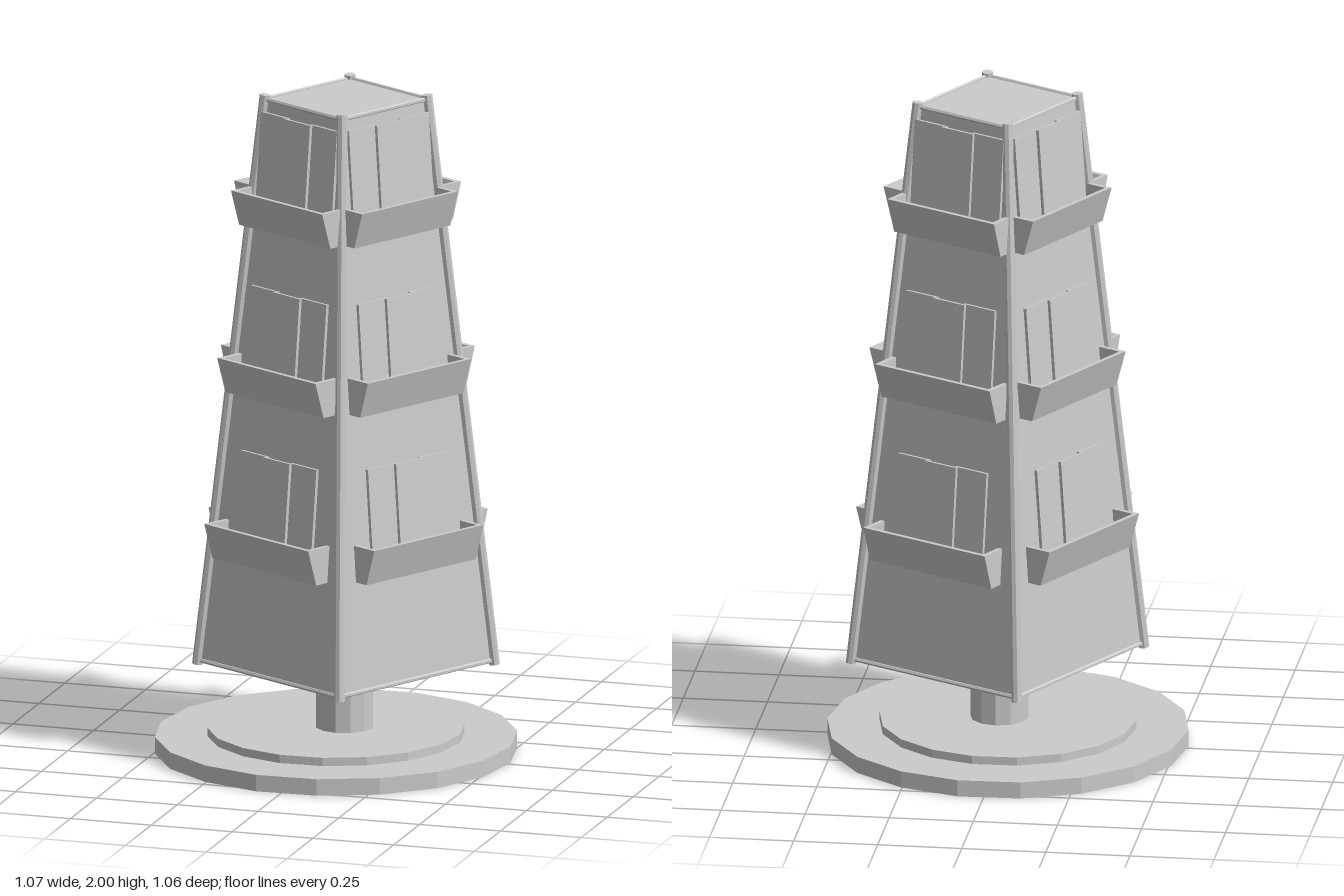
import * as THREE from 'three';

const Y0 = 0.27, Y1 = 1.99;
const mat = new THREE.MeshStandardMaterial({ color: 0xcccccc, flatShading: true, side: THREE.DoubleSide });

// Half widths of the tapering tower at height y
const lerp = (y, low, high) => low + (high - low) * (y - Y0) / (Y1 - Y0);
const halfX = (y) => lerp(y, 0.303, 0.165);
const halfZ = (y) => lerp(y, 0.315, 0.173);

function add(parent, name, geometry, x = 0, y = 0, z = 0) {
  const m = new THREE.Mesh(geometry, mat);
  m.name = name;
  m.position.set(x, y, z);
  parent.add(m);
  return m;
}

// Round bar between two points
function bar(parent, name, a, b, r, sides) {
  const m = add(parent, name, new THREE.CylinderGeometry(r, r, a.distanceTo(b), sides));
  m.position.copy(a).add(b).multiplyScalar(0.5);
  m.quaternion.setFromUnitVectors(new THREE.Vector3(0, 1, 0), b.clone().sub(a).normalize());
}

// Profile (outward, up) extruded along the side of the tower
function extrude(points, length) {
  const shape = new THREE.Shape(points.map(([x, y]) => new THREE.Vector2(x, y)));
  return new THREE.ExtrudeGeometry(shape, { depth: length, bevelEnabled: false });
}

// Open tray with a sloping front, and the cards standing in it
function addTray(side, half, y, w, cardTop) {
  const h = 0.11, t = 0.014;
  const inTop = half(y + h), inLow = half(y);
  const outTop = inTop + 0.087, outLow = outTop - 0.033;
  const tray = new THREE.Group();
  tray.name = 'tray';
  side.add(tray);
  add(tray, 'trayFrontAndFloor', extrude([
    [inLow - 0.005, y], [outLow, y], [outTop, y + h], [outTop - t, y + h],
    [outLow - t, y + t], [inLow - 0.005, y + t],
  ], 2 * w), 0, 0, -w);
  for (const z of [-w, w - t]) {
    add(tray, 'trayEnd', extrude([
      [inLow - 0.005, y], [outLow, y], [outTop, y + h], [inTop - 0.005, y + h],
    ], t), 0, 0, z);
  }
  // Cards leaning on the panel, the middle one in front
  const low = y + t, mid = (low + cardTop) / 2;
  const tilt = Math.atan((half(low) - half(cardTop)) / (cardTop - low));
  [-0.105, 0, 0.105].forEach((z, i) => {
    const proud = i === 1 ? 0.02 : 0.01;
    const card = add(tray, 'card', new THREE.BoxGeometry(0.01, cardTop - low, 0.115),
      half(mid) + proud, mid, z);
    card.rotation.z = tilt;
  });
}

export function createModel() {
  const model = new THREE.Group();
  model.name = 'revolvingDisplayStand';

  // Base ring with a raised disc inside
  const ring = [[0.38, 0], [0.535, 0], [0.535, 0.05], [0.38, 0.05], [0.38, 0]];
  const base = add(model, 'baseRing',
    new THREE.LatheGeometry(ring.map(([x, y]) => new THREE.Vector2(x, y)), 18));
  const disc = add(model, 'baseDisc', new THREE.CylinderGeometry(0.38, 0.38, 0.055, 18), 0, 0.0475, 0);
  base.rotation.y = disc.rotation.y = 0.205;

  add(model, 'pole', new THREE.CylinderGeometry(0.086, 0.086, 0.21, 12), 0.025, 0.175, -0.004);

  const tower = new THREE.Group();
  tower.name = 'tower';
  tower.position.x = 0.031;
  tower.rotation.y = -THREE.MathUtils.degToRad(28.6);
  model.add(tower);

  // Tapering panels
  const low = Y0 + 0.005, high = Y1 - 0.005;
  const body = new THREE.BoxGeometry(2, high - low, 2).translate(0, (high + low) / 2, 0);
  const p = body.attributes.position;
  for (let i = 0; i < p.count; i++) {
    p.setX(i, p.getX(i) * halfX(p.getY(i)));
    p.setZ(i, p.getZ(i) * halfZ(p.getY(i)));
  }
  body.computeVertexNormals();
  add(tower, 'panels', body);

  // Corner posts, and rails along the top and bottom edges
  const corner = (k, y) => {
    const [sx, sz] = [[1, 1], [1, -1], [-1, -1], [-1, 1]][k % 4];
    return new THREE.Vector3(sx * halfX(y), y, sz * halfZ(y));
  };
  for (let k = 0; k < 4; k++) {
    bar(tower, 'cornerPost', corner(k, Y0 - 0.005), corner(k, 1.998), 0.016, 8);
    for (const y of [low + 0.003, high]) bar(tower, 'edgeRail', corner(k, y), corner(k + 1, y), 0.007, 6);
  }

  // Three trays on each of the four sides
  for (let k = 0; k < 4; k++) {
    const side = new THREE.Group();
    side.name = 'side';
    side.rotation.y = k * Math.PI / 2;
    tower.add(side);
    const half = k % 2 ? halfZ : halfX;
    addTray(side, half, 0.605, 0.222, 0.935);
    addTray(side, half, 1.105, 0.21, 1.43);
    addTray(side, half, 1.61, 0.195, 1.95);
  }
  return model;
}
